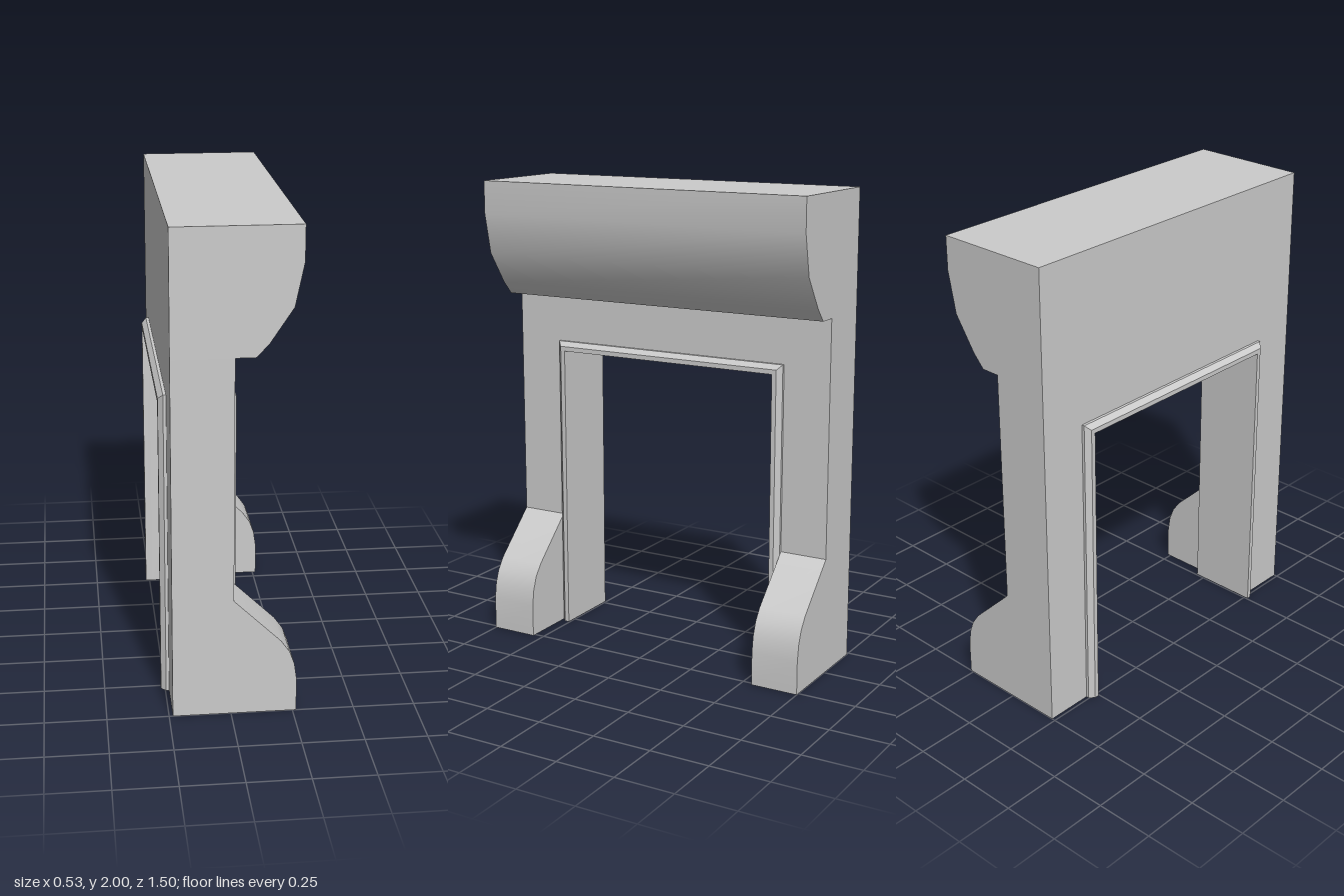
import * as THREE from 'three';
import { toCreasedNormals } from 'three/addons/utils/BufferGeometryUtils.js';

const BACK = -0.235, FRONT = 0.01;   // wall faces along x
const HALF = 0.75;                   // half width along z
const OPEN = 0.505, OPEN_TOP = 1.255; // doorway half width and height

const material = new THREE.MeshStandardMaterial({ color: 0xcccccc });

function addPart(group, name, geometry) {
  const mesh = new THREE.Mesh(geometry, material);
  mesh.name = name;
  group.add(mesh);
  return mesh;
}

function extrude(points, depth) {
  const shape = new THREE.Shape(points.map(([x, y]) => new THREE.Vector2(x, y)));
  return new THREE.ExtrudeGeometry(shape, { depth, bevelEnabled: false });
}

// Mitred moulding swept up one jamb, across the lintel and down the other
function trimGeometry(face, side) {
  // [offset outward from the opening, projection from the wall]
  const profile = [[0, 0], [0, 0.032], [0.02, 0.032], [0.04, 0.012], [0.04, 0]];
  const stations = [[1, false], [1, true], [-1, true], [-1, false]];
  const rings = stations.map(([sz, top]) => profile.map(([o, d]) =>
    [face + side * d, top ? OPEN_TOP + o : 0, sz * (OPEN + o)]));
  const positions = [];
  const tri = (a, b, c) => positions.push(...(side > 0 ? [a, b, c] : [a, c, b]).flat());
  for (let i = 0; i < 3; i++) {
    for (let j = 0; j < profile.length - 1; j++) {
      const a = rings[i][j], b = rings[i + 1][j];
      const c = rings[i + 1][j + 1], d = rings[i][j + 1];
      tri(a, b, c);
      tri(a, c, d);
    }
  }
  // feet of the moulding
  for (let j = 1; j < profile.length - 1; j++) {
    tri(rings[0][0], rings[0][j], rings[0][j + 1]);
    tri(rings[3][0], rings[3][j + 1], rings[3][j]);
  }
  const geometry = new THREE.BufferGeometry();
  geometry.setAttribute('position', new THREE.Float32BufferAttribute(positions, 3));
  geometry.computeVertexNormals();
  return geometry;
}

export function createModel() {
  const model = new THREE.Group();
  model.name = 'doorway';

  // Wall with the doorway cut out, drawn in z/y and extruded along x
  const wall = extrude([
    [-HALF, 0], [-OPEN, 0], [-OPEN, OPEN_TOP], [OPEN, OPEN_TOP],
    [OPEN, 0], [HALF, 0], [HALF, 1.5], [-HALF, 1.5],
  ], FRONT - BACK);
  wall.rotateY(Math.PI / 2).translate(BACK, 0, 0);
  addPart(model, 'wall', wall);

  // Overhanging cornice with a curved underside
  const cornice = extrude([
    [BACK, 1.5], [0.09, 1.5], [0.14, 1.555], [0.23, 1.69],
    [0.265, 1.86], [0.265, 2], [BACK, 2],
  ], HALF * 2);
  cornice.translate(0, 0, -HALF);
  addPart(model, 'cornice', toCreasedNormals(cornice, 0.6));

  // Flared feet either side of the doorway
  const footInner = OPEN + 0.04;
  for (const s of [1, -1]) {
    const foot = extrude([
      [FRONT, 0], [0.265, 0], [0.265, 0.14], [0.255, 0.21],
      [0.235, 0.265], [0.2, 0.315], [FRONT, 0.5],
    ], HALF - footInner);
    foot.translate(0, 0, s > 0 ? footInner : -HALF);
    addPart(model, s > 0 ? 'footFrontEnd' : 'footBackEnd', toCreasedNormals(foot, 0.6));
  }

  // Door trim on both faces of the wall
  addPart(model, 'trimCorniceSide', trimGeometry(FRONT, 1));
  addPart(model, 'trimFlatSide', trimGeometry(BACK, -1));

  return model;
}
